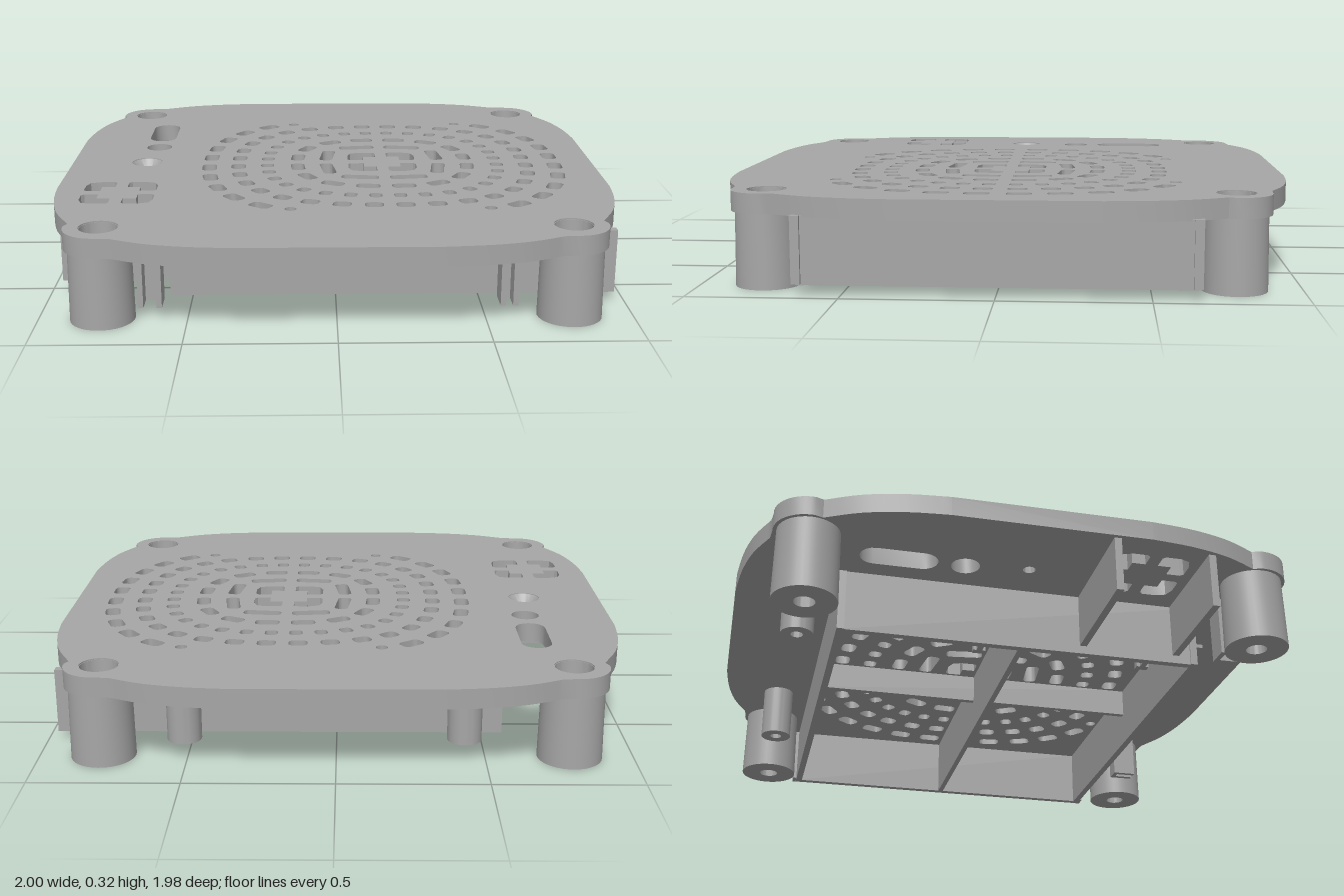
import * as THREE from 'three';
import { toCreasedNormals } from 'three/addons/utils/BufferGeometryUtils.js';

const FAN_X = 0.19;

// Outline points of a rounded rectangle, turned by an angle
function roundedRect(cx, cy, w, h, r, angle = 0) {
  const pts = [];
  const corners = [[1, 1], [-1, 1], [-1, -1], [1, -1]];
  corners.forEach(([sx, sy], q) => {
    for (let i = 0; i <= 4; i++) {
      const a = (q + i / 4) * Math.PI / 2;
      const x = sx * (w / 2 - r) + r * Math.cos(a);
      const y = sy * (h / 2 - r) + r * Math.sin(a);
      pts.push(new THREE.Vector2(
        cx + x * Math.cos(angle) - y * Math.sin(angle),
        cy + x * Math.sin(angle) + y * Math.cos(angle)));
    }
  });
  return pts;
}

const circle = (x, y, r, n = 28) => Array.from({ length: n }, (_, i) => {
  const a = i / n * Math.PI * 2;
  return new THREE.Vector2(x + r * Math.cos(a), y + r * Math.sin(a));
});

// Plate outline: bowed sides with a round lobe at each corner
function plateOutline() {
  const v = (x, y) => new THREE.Vector2(x, y);
  const side = new THREE.SplineCurve([v(1, 0.34), v(0.985, 0.48), v(0.95, 0.62), v(0.892, 0.74)]).getPoints(12);
  const lobe = [];
  for (let i = 0; i <= 12; i++) {
    const a = THREE.MathUtils.degToRad(-5 + i * 100 / 12);
    lobe.push(v(0.785 + 0.118 * Math.cos(a), 0.775 + 0.118 * Math.sin(a)));
  }
  const front = new THREE.SplineCurve([v(0.73, 0.897), v(0.62, 0.945), v(0.49, 0.975), v(0.34, 0.99)]).getPoints(12);
  const quarter = [...side, ...lobe, ...front];
  const out = [];
  for (const [sx, sy] of [[1, 1], [-1, 1], [-1, -1], [1, -1]]) {
    const q = quarter.map(p => v(p.x * sx, p.y * sy));
    out.push(...(sx * sy > 0 ? q : q.reverse()));
  }
  return out;
}

// Evenly spaced slots along a squarish ring
function ringSlots(radius, perQuarter, radial, along, n = 2.55) {
  const pts = [];
  for (let i = 0; i <= 300; i++) {
    const a = i / 300 * Math.PI / 2;
    const c = Math.cos(a), s = Math.sin(a);
    const k = radius / Math.pow(c ** n + s ** n, 1 / n);
    pts.push(new THREE.Vector2(k * c, k * s));
  }
  const len = [0];
  for (let i = 1; i <= 300; i++) len.push(len[i - 1] + pts[i].distanceTo(pts[i - 1]));
  const slots = [];
  for (let j = 0; j < perQuarter; j++) {
    const target = (j + 0.5) / perQuarter * len[300];
    const i = Math.min(299, Math.max(1, len.findIndex(l => l >= target)));
    const t = pts[i + 1].clone().sub(pts[i - 1]);
    const angle = Math.atan2(t.y, t.x);
    if (pts[i].y > 0.585) continue;
    for (const sx of [1, -1]) for (const sy of [1, -1]) {
      slots.push(roundedRect(FAN_X + sx * pts[i].x, sy * pts[i].y, along, radial, Math.min(radial, along) * 0.35, sx * sy * angle));
    }
  }
  return slots;
}

// Four L-shaped openings around a solid middle
function cornerOpenings(cx, cy) {
  const holes = [];
  for (const sx of [1, -1]) for (const sy of [1, -1]) {
    const p = [[0.022, 0.07], [0.07, 0.07], [0.07, 0.022], [0.12, 0.022], [0.13, 0.032],
      [0.13, 0.085], [0.118, 0.118], [0.085, 0.13], [0.032, 0.13], [0.022, 0.12]];
    holes.push(p.map(([x, y]) => new THREE.Vector2(cx + sx * x, cy + sy * y)));
  }
  return holes;
}

export function createModel() {
  const group = new THREE.Group();
  const grey = new THREE.MeshStandardMaterial({ color: 0xa6a6a6 });
  grey.name = 'matte grey';

  const add = (name, geo, x = 0, y = 0, z = 0) => {
    const m = new THREE.Mesh(geo, grey);
    m.name = name;
    m.position.set(x, y, z);
    group.add(m);
    return m;
  };
  // Box given by its lower and upper limits on each axis
  const block = (name, x0, x1, y0, y1, z0, z1) =>
    add(name, new THREE.BoxGeometry(x1 - x0, y1 - y0, z1 - z0), (x0 + x1) / 2, (y0 + y1) / 2, (z0 + z1) / 2);
  const lathe = (name, profile, x, z) => add(name, toCreasedNormals(
    new THREE.LatheGeometry(profile.map(p => new THREE.Vector2(p[0], p[1])), 36), 0.6), x, 0, z);

  // Top plate with all its openings
  const shape = new THREE.Shape(plateOutline());
  const holes = [
    ...ringSlots(0.66, 8, 0.055, 0.085),
    ...ringSlots(0.55, 8, 0.055, 0.066),
    ...ringSlots(0.44, 8, 0.05, 0.046),
    ...ringSlots(0.325, 4, 0.052, 0.088),
    ...ringSlots(0.212, 2, 0.05, 0.14, 3.5),
    ...cornerOpenings(FAN_X, 0),
    ...cornerOpenings(-0.77, 0.39),
    roundedRect(-0.692, -0.46, 0.106, 0.27, 0.0525),
    circle(-0.692, -0.23, 0.05),
    circle(-0.715, -0.01, 0.058),
  ];
  for (const sx of [1, -1]) for (const sz of [1, -1]) {
    holes.push(circle(sx * 0.785, sz * 0.775, 0.066, 36));
    holes.push(circle(FAN_X + sx * 0.345, sz * 0.593, 0.021, 16));
  }
  shape.holes = holes.map(h => new THREE.Path(h));
  const plate = new THREE.ExtrudeGeometry(shape, { depth: 0.068, bevelEnabled: false });
  plate.rotateX(Math.PI / 2);
  add('topPlate', toCreasedNormals(plate, 0.6), 0, 0.322, 0);

  // Countersunk small hole
  lathe('countersink', [[0.022, 0.254], [0.059, 0.254], [0.059, 0.321], [0.022, 0.28], [0.022, 0.254]], -0.715, -0.01);

  // Corner screw posts
  for (const sx of [1, -1]) for (const sz of [1, -1]) {
    lathe('cornerPost', [[0.036, 0], [0.109, 0], [0.105, 0.3], [0.068, 0.318], [0.064, 0.318], [0.058, 0.1], [0.036, 0.1], [0.036, 0]],
      sx * 0.785, sz * 0.775);
  }

  // Slim standoffs along the back
  for (const x of [0.51, -0.43]) {
    lathe('backStandoff', [[0, 0.12], [0.022, 0.12], [0.022, 0.06], [0.058, 0.06], [0.058, 0.26]].slice(1), x, -0.77);
    add('standoffHoleEnd', new THREE.CylinderGeometry(0.024, 0.024, 0.01, 16), x, 0.125, -0.77);
  }

  // Duct walls under the fan grille
  block('frontWall', -0.57, 0.945, 0.03, 0.26, 0.622, 0.647);
  block('backWall', -0.57, 0.945, 0.03, 0.26, -0.647, -0.622);
  block('rightWall', 0.925, 0.95, 0.032, 0.26, -0.64, 0.64);
  block('leftWall', -0.565, -0.538, 0.03, 0.26, -0.64, 0.64);
  for (const s of [1, -1]) block('wallEndRib', 0.915, 0.962, 0.036, 0.26, s * 0.645 - 0.015, s * 0.645 + 0.015);

  // Ribs inside the duct
  block('centreRib', -0.54, 0.93, 0.03, 0.26, -0.01, 0.01);
  block('crossRib', FAN_X - 0.011, FAN_X + 0.011, 0.15, 0.26, -0.63, 0.63);

  // Small clips on the left wall
  for (const z of [-0.14, 0.46]) {
    block('wallClip', -0.54, -0.49, 0.03, 0.12, z - 0.01, z + 0.01);
    block('wallClipFoot', -0.51, -0.485, 0.03, 0.12, z - 0.022, z + 0.022);
  }

  // Side fins around the corner openings
  block('sideFin', -0.985, -0.55, 0.06, 0.26, 0.21, 0.235);
  block('sideFin', -0.95, -0.55, 0.06, 0.26, 0.555, 0.58);

  // Channel clips beside the front posts
  for (const [x0, x1] of [[-0.665, -0.585], [0.55, 0.61]]) {
    block('channelClipBack', x0, x1, 0.04, 0.26, 0.7, 0.718);
    block('channelClipSide', x0, x0 + 0.018, 0.04, 0.26, 0.71, 0.79);
    block('channelClipSide', x1 - 0.018, x1, 0.04, 0.26, 0.71, 0.79);
  }

  // Small tabs under the plate edge
  block('frontTab', -0.305, -0.222, 0.24, 0.26, 0.76, 0.785);
  block('backTab', -0.29, -0.22, 0.24, 0.26, -0.785, -0.77);
  block('backTab', -0.235, -0.22, 0.24, 0.26, -0.81, -0.74);

  return group;
}
